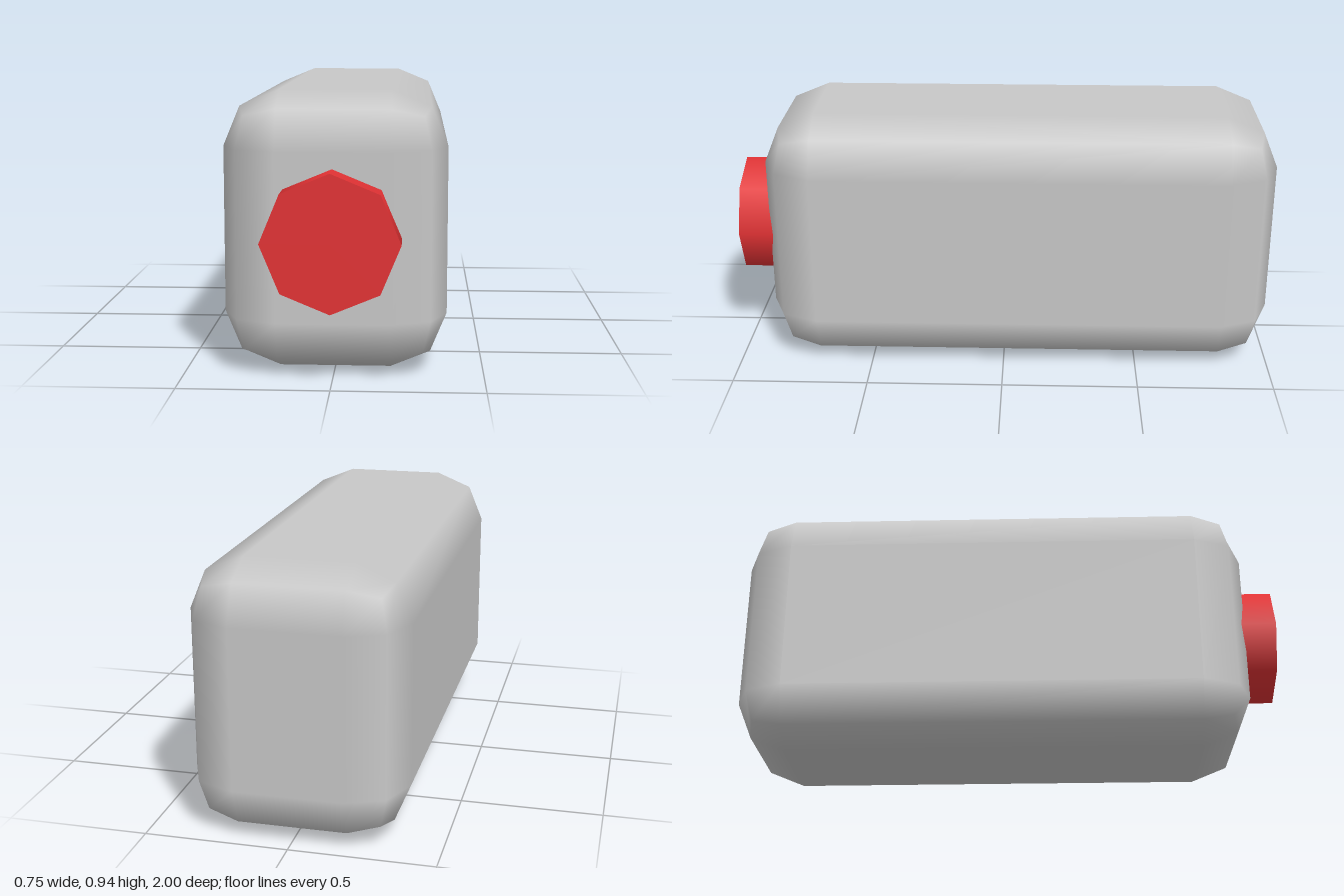
import * as THREE from 'three';
import { RoundedBoxGeometry } from 'three/addons/geometries/RoundedBoxGeometry.js';

export function createModel() {
  const group = new THREE.Group();
  const grey = new THREE.MeshStandardMaterial({ name: 'light grey', color: 0xc8c8c8 });
  const red = new THREE.MeshStandardMaterial({ name: 'red', color: 0xe23234 });

  // Long body with two-step rounded edges
  const body = new THREE.Mesh(new RoundedBoxGeometry(0.754, 0.943, 1.887, 1, 0.189), grey);
  body.name = 'body';
  body.position.set(0, 0.4715, -0.0565);
  group.add(body);

  // Octagonal button, half sunk into the front face
  const button = new THREE.Mesh(new THREE.CylinderGeometry(0.226, 0.226, 0.226, 8), red);
  button.name = 'frontButton';
  button.rotation.x = Math.PI / 2;
  button.position.set(0, 0.4735, 0.887);
  group.add(button);

  return group;
}
